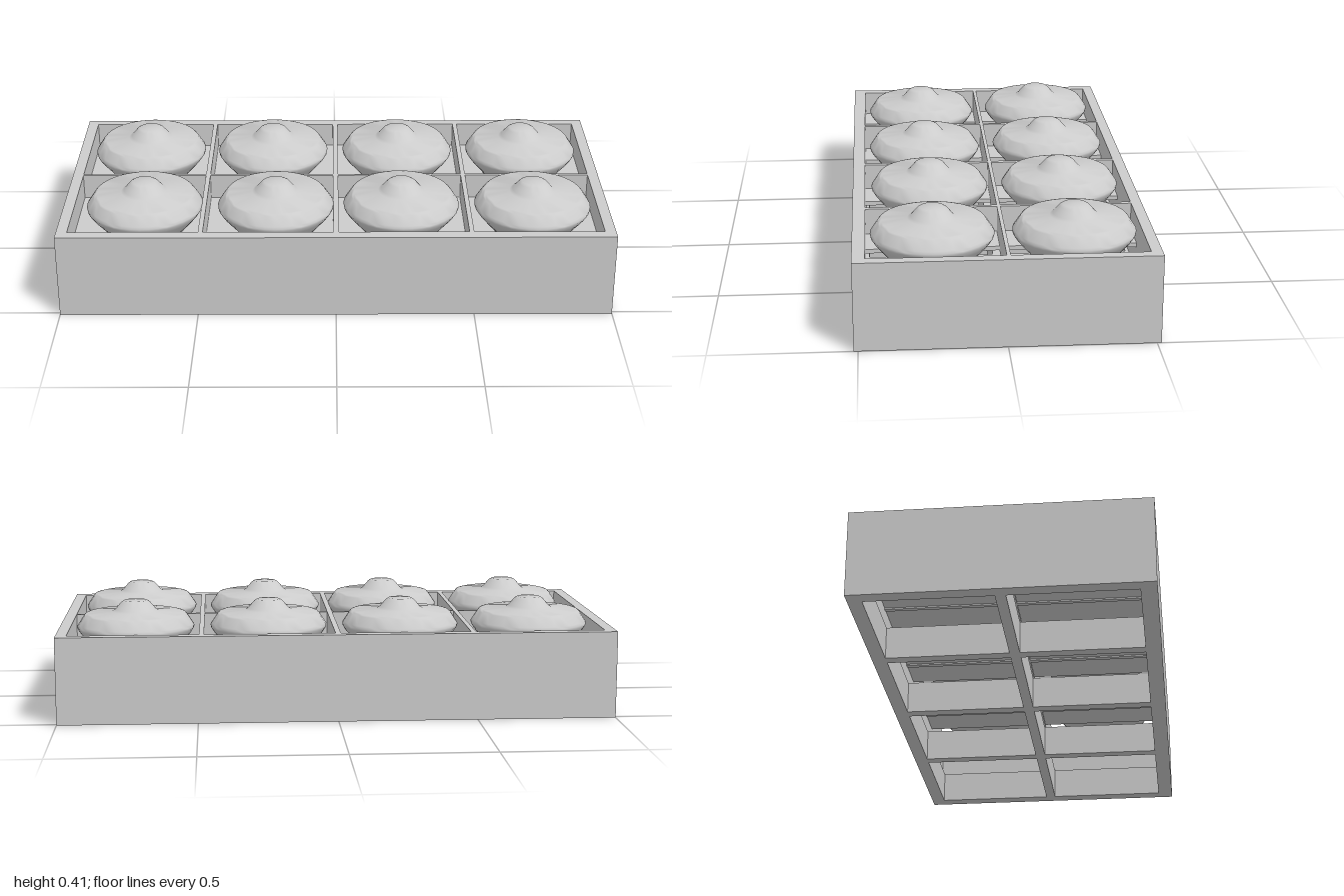
import * as THREE from 'three';
import { toCreasedNormals } from 'three/addons/utils/BufferGeometryUtils.js';

const W = 2, D = 1.03, H = 0.314;
const LIP_Y = 0.12;          // top of the lower grid
const TRAY_Y = 0.2;          // underside of the upper grid
const CELL = 0.467;
const COLS = [-0.727, -0.243, 0.243, 0.727];
const ROWS = [-0.243, 0.237];

function rectPath(PathType, cx, cy, w, h) {
  const p = new PathType();
  p.moveTo(cx - w / 2, cy - h / 2);
  p.lineTo(cx + w / 2, cy - h / 2);
  p.lineTo(cx + w / 2, cy + h / 2);
  p.lineTo(cx - w / 2, cy + h / 2);
  p.closePath();
  return p;
}

// Horizontal slab of the crate with the given rectangular openings [x, z, w, d]
function slab(openings, y0, y1) {
  const shape = rectPath(THREE.Shape, 0, 0, W, D);
  for (const [x, z, w, d] of openings) shape.holes.push(rectPath(THREE.Path, x, -z, w, d));
  const geo = new THREE.ExtrudeGeometry(shape, { depth: y1 - y0, bevelEnabled: false });
  geo.rotateX(-Math.PI / 2);
  geo.translate(0, y0, 0);
  return geo;
}

// Square openings for all cells
const grid = (cell) => COLS.flatMap((x) => ROWS.map((z) => [x, z, cell, cell]));

export function createModel() {
  const root = new THREE.Group();
  root.name = 'crateOfDiscs';
  const grey = new THREE.MeshStandardMaterial({ color: 0xcccccc });
  grey.name = 'plainGrey';

  const add = (parent, geo, name, x = 0, y = 0, z = 0) => {
    const mesh = new THREE.Mesh(geo, grey);
    mesh.name = name;
    mesh.position.set(x, y, z);
    parent.add(mesh);
  };

  // Crate: lower grid, open band inside the outer walls, upper grid
  const crate = new THREE.Group();
  crate.name = 'crate';
  root.add(crate);
  const inner = [0, (ROWS[0] + ROWS[1]) / 2, 2 * COLS[3] + CELL, ROWS[1] - ROWS[0] + CELL];
  add(crate, slab(grid(CELL - 0.024), 0, LIP_Y), 'lowerGrid');
  add(crate, slab([inner], LIP_Y, TRAY_Y), 'outerWalls');
  add(crate, slab(grid(CELL), TRAY_Y, H), 'upperGrid');

  // Supports: two shelves per cell with an open slot between
  const slot = 0.17, shelfW = (CELL - slot) / 2;
  const shelfGeo = new THREE.BoxGeometry(shelfW, 0.015, CELL);
  for (const x of COLS) for (const z of ROWS) {
    for (const s of [-1, 1]) {
      add(crate, shelfGeo, 'supportShelf', x + s * (slot + shelfW) / 2, 0.213, z);
    }
  }

  // Domed disc: tapered underside, rounded shoulder and a raised centre knob
  const profile = [
    [0, 0.22], [0.135, 0.22], [0.15, 0.226], [0.2, 0.285], [0.2115, 0.303], [0.213, 0.312],
    [0.208, 0.32], [0.187, 0.352], [0.182, 0.357], [0.174, 0.359], [0.085, 0.365],
    [0.074, 0.372], [0.052, 0.398], [0.042, 0.404], [0, 0.405],
  ].map(([r, y]) => new THREE.Vector2(r, y));
  const discGeo = toCreasedNormals(new THREE.LatheGeometry(profile, 40), 0.85);
  const centres = [
    [-0.723, -0.246], [-0.244, -0.246], [0.241, -0.245], [0.726, -0.246],
    [-0.703, 0.237], [-0.221, 0.238], [0.241, 0.234], [0.724, 0.241],
  ];
  for (const [x, z] of centres) add(root, discGeo, 'disc', x, 0, z);

  return root;
}
